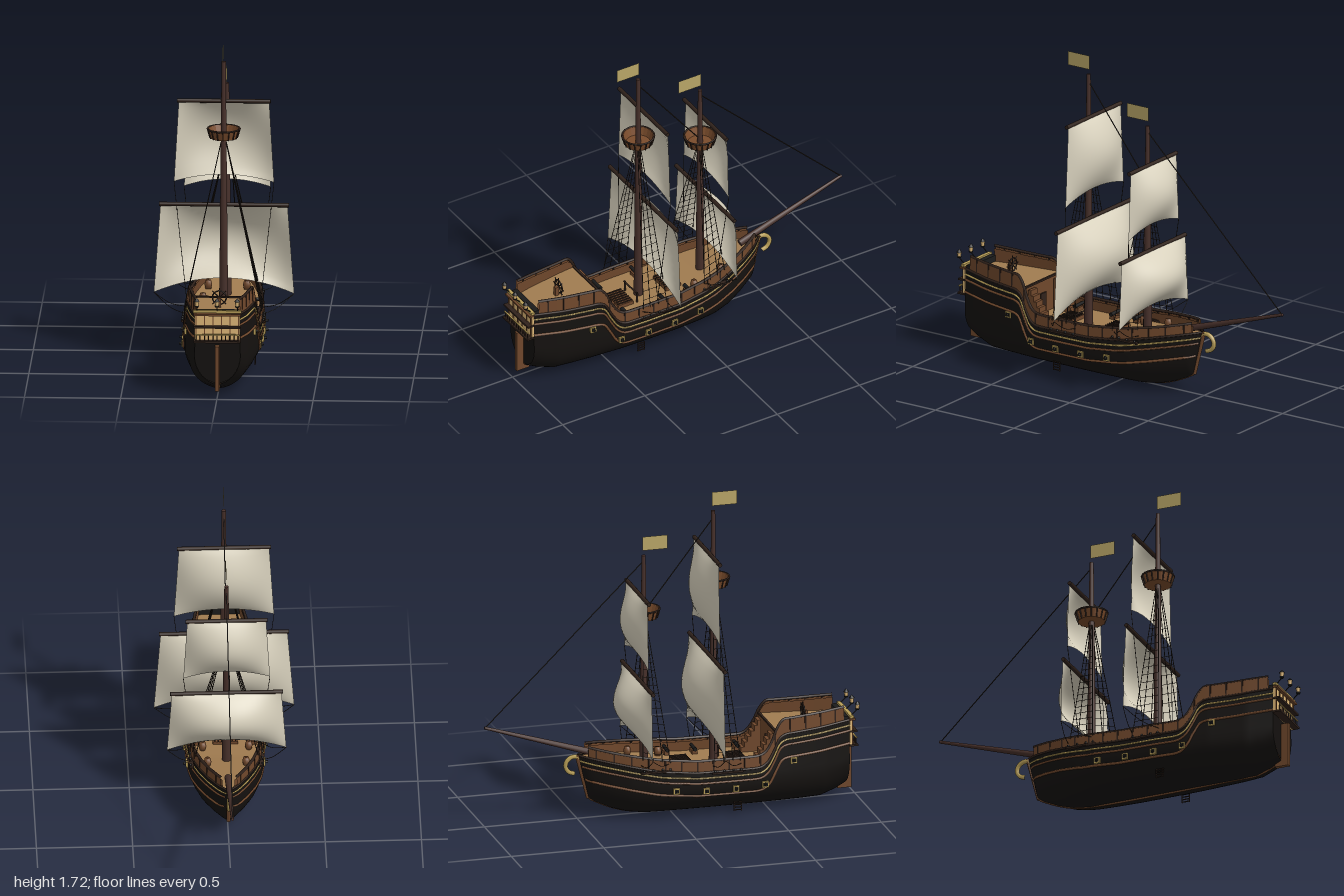
import * as THREE from 'three';

const mat = (color, side = THREE.FrontSide) => new THREE.MeshStandardMaterial({ color, side });
const D = THREE.DoubleSide;
const M = {
  hull: mat(0x14110f, D), wood: mat(0x70482c, D), deck: mat(0xa17c50, D), sail: mat(0xd8d1bd, D),
  mast: mat(0x47302a), dark: mat(0x30221b), gold: mat(0xb99f58), flag: mat(0xbaa768, D),
  rope: mat(0x2a221c), window: mat(0xe3bb7a), iron: mat(0x1c1c1c), nest: mat(0x7a4c2c, D),
};
const V = (x, y, z) => new THREE.Vector3(x, y, z);

// Piecewise-linear tables along the ship, [z, value] from stern to bow
const at = (tab, z) => {
  if (z >= tab[0][0]) return tab[0][1];
  for (let i = 1; i < tab.length; i++) if (z >= tab[i][0]) {
    const [a, b] = [tab[i - 1], tab[i]];
    return b[1] + (a[1] - b[1]) * (z - b[0]) / (a[0] - b[0]);
  }
  return tab[tab.length - 1][1];
};
const BEAM = [[0.94, 0.12], [0.8, 0.152], [0.6, 0.184], [0.45, 0.2], [0.3, 0.206], [0.1, 0.206], [-0.05, 0.196], [-0.15, 0.178], [-0.25, 0.148], [-0.35, 0.105], [-0.43, 0.06], [-0.5, 0.008]];
const KEEL = [[0.94, 0.06], [0.88, 0.03], [0.8, 0.003], [0.7, 0], [-0.15, 0], [-0.24, 0.013], [-0.32, 0.038], [-0.4, 0.075], [-0.44, 0.1], [-0.465, 0.2], [-0.5, 0.32]];
const SHEER = [[0.94, 0.437], [0.75, 0.42], [0.57, 0.413], [0.545, 0.395], [0.49, 0.29], [0.455, 0.258], [0.42, 0.25], [0.1, 0.253], [-0.1, 0.272], [-0.3, 0.31], [-0.5, 0.345]];
const RAIL = [[0.94, 0.508], [0.75, 0.495], [0.57, 0.488], [0.545, 0.47], [0.49, 0.35], [0.455, 0.315], [0.42, 0.307], [0.1, 0.31], [-0.1, 0.33], [-0.3, 0.36], [-0.5, 0.397]];
const DECK = [[0.53, 0.24], [0.1, 0.243], [-0.1, 0.262], [-0.3, 0.3], [-0.48, 0.33]];

// Half width of the hull at a height, rounded below and leaning in above
function halfWidth(z, y) {
  const s = Math.min(1, Math.max(0, (y - at(KEEL, z)) / 0.17));
  return at(BEAM, z) * Math.pow(1 - Math.pow(1 - s, 2.4), 0.62) * (1 - 0.35 * Math.max(0, y - 0.2));
}

function add(parent, name, geo, material, x = 0, y = 0, z = 0) {
  const m = new THREE.Mesh(geo, material);
  m.name = name;
  m.position.set(x, y, z);
  parent.add(m);
  return m;
}
const box = (p, n, m, w, h, d, x, y, z) => add(p, n, new THREE.BoxGeometry(w, h, d), m, x, y, z);
const cyl = (p, n, m, r1, r2, h, x, y, z, seg = 12) => add(p, n, new THREE.CylinderGeometry(r1, r2, h, seg), m, x, y, z);

// Surface from a rule f(u, v) -> point
function loft(p, name, f, nu, nv, material) {
  const g = new THREE.PlaneGeometry(1, 1, nu, nv), a = g.attributes.position, uv = g.attributes.uv;
  for (let i = 0; i < a.count; i++) a.setXYZ(i, ...f(uv.getX(i), uv.getY(i)).toArray());
  g.computeVertexNormals();
  return add(p, name, g, material);
}
// Straight round bar between two points
function bar(p, name, a, b, r1, r2, material, seg = 6) {
  const m = cyl(p, name, material, r2, r1, a.distanceTo(b), 0, 0, 0, seg);
  m.position.copy(a).lerp(b, 0.5);
  m.quaternion.setFromUnitVectors(V(0, 1, 0), b.clone().sub(a).normalize());
  return m;
}
const tube = (p, name, pts, r, material, n = 60) =>
  add(p, name, new THREE.TubeGeometry(new THREE.CatmullRomCurve3(pts), n, r, 6), material);

function buildHull(ship) {
  const g = new THREE.Group(); g.name = 'hull'; ship.add(g);
  const zOf = u => 0.94 - 1.44 * u;
  for (const s of [-1, 1]) {
    loft(g, 'hullSide', (u, v) => {
      const z = zOf(u), k = at(KEEL, z), y = k + (at(SHEER, z) - k) * Math.pow(v, 1.5);
      return V(s * halfWidth(z, y), y, z);
    }, 72, 20, M.hull);
    for (const inset of [0, 0.012]) loft(g, 'bulwark', (u, v) => {
      const z = 0.91 - 1.36 * u, y = at(SHEER, z) - 0.015 * (inset > 0) + (at(RAIL, z) - at(SHEER, z)) * v;
      return V(s * Math.max(0, halfWidth(z, y) - inset), y, z);
    }, 72, 2, M.wood);
    // Rail cap and wales following the sheer
    const line = (name, tab, drop, r, m, z0, z1, out) => {
      const pts = [];
      for (let i = 0; i <= 40; i++) {
        const z = z0 + (z1 - z0) * i / 40, y = at(tab, z) - drop;
        pts.push(V(s * (halfWidth(z, y) + out), y, z));
      }
      tube(g, name, pts, r, m, 90);
    };
    line('railCap', RAIL, 0, 0.008, M.dark, 0.91, -0.45, -0.006);
    line('sheerWale', SHEER, 0.004, 0.006, M.dark, 0.94, -0.49, 0);
    line('goldWale', SHEER, 0.034, 0.005, M.gold, 0.94, -0.485, 0);
    line('upperWale', SHEER, 0.062, 0.006, M.wood, 0.94, -0.475, 0);
    line('lowerWale', SHEER, 0.13, 0.007, M.wood, 0.94, -0.46, 0);
    for (let z = 0.86; z > -0.44; z -= 0.085) {
      const y = (at(SHEER, z) + at(RAIL, z)) / 2;
      box(g, 'bulwarkPost', M.dark, 0.008, at(RAIL, z) - at(SHEER, z), 0.008, s * (halfWidth(z, y) - 0.002), y, z);
    }
    // Gun ports with muzzles
    for (const [z, y] of [[0.46, 0.155], [0.3, 0.148], [0.14, 0.15], [-0.02, 0.16], [0.62, 0.265]]) {
      const x = s * halfWidth(z, y);
      box(g, 'gunPort', M.gold, 0.018, 0.034, 0.034, x, y, z);
      box(g, 'gunPortOpening', M.iron, 0.02, 0.02, 0.022, x, y, z);
      bar(g, 'muzzle', V(x, y, z), V(x + s * 0.022, y, z), 0.007, 0.006, M.iron, 8);
    }
    // Boarding ladder
    for (let i = 0; i < 4; i++) box(g, 'ladderRung', M.dark, 0.006, 0.004, 0.045, s * 0.168, 0.018 + i * 0.014, 0.32);
    for (const dz of [-0.02, 0.02]) box(g, 'ladderRail', M.dark, 0.004, 0.05, 0.004, s * 0.168, 0.038, 0.32 + dz);
  }
  // Transom, decks and cabin front
  const across = (name, zf, yf, nu, nv, m, inset = 0.004) => loft(g, name, (u, v) => {
    const z = zf(v), y = yf(v, z);
    return V((u * 2 - 1) * Math.max(0, halfWidth(z, y) - inset), y, z);
  }, nu, nv, m);
  across('transom', () => 0.94, v => 0.06 + 0.377 * v, 8, 16, M.hull, 0);
  across('mainDeck', v => 0.53 - 1.01 * v, (v, z) => at(DECK, z), 4, 40, M.deck);
  across('quarterDeck', v => 0.94 - 0.41 * v, () => 0.42, 4, 16, M.deck);
  across('cabinFront', () => 0.53, v => 0.24 + 0.18 * v, 4, 4, M.wood);
  box(g, 'cabinDoor', M.dark, 0.05, 0.11, 0.012, 0, 0.297, 0.527);
  box(g, 'deckEdge', M.dark, 0.33, 0.01, 0.012, 0, 0.422, 0.53);
  // Stem, keel and rudder
  tube(g, 'keel', KEEL.map(([z, y]) => V(0, y + 0.004, z)), 0.007, M.wood, 80);
  bar(g, 'stem', V(0, 0.1, -0.438), V(0, 0.34, -0.5), 0.012, 0.012, M.wood);
  box(g, 'rudder', M.wood, 0.022, 0.24, 0.075, 0, 0.15, 0.942);
  const curl = [[0.24, -0.515], [0.252, -0.545], [0.28, -0.562], [0.31, -0.555], [0.33, -0.53], [0.33, -0.5], [0.318, -0.49]];
  tube(g, 'figurehead', curl.map(([y, z]) => V(0, y, z)), 0.012, M.gold, 24);
}

function buildStern(ship) {
  const g = new THREE.Group(); g.name = 'sternGallery'; ship.add(g);
  box(g, 'galleryPanel', M.window, 0.235, 0.15, 0.012, 0, 0.365, 0.947);
  for (const [y, m, d] of [[0.295, M.dark, 0.045], [0.372, M.dark, 0.04], [0.436, M.wood, 0.03]])
    box(g, 'galleryLedge', m, 0.245, 0.01, d, 0, y, 0.94 + d / 2);
  box(g, 'taffrail', M.gold, 0.25, 0.014, 0.02, 0, 0.452, 0.95);
  box(g, 'sternBeam', M.iron, 0.225, 0.035, 0.03, 0, 0.436, 0.92);
  for (let i = 0; i < 11; i++) {
    const x = -0.11 + i * 0.022;
    cyl(g, 'baluster', M.dark, 0.003, 0.003, 0.036, x, 0.315, 0.977, 6);
    if (i % 2 === 0) box(g, 'windowPost', M.wood, 0.005, 0.14, 0.006, x, 0.366, 0.955);
  }
  box(g, 'galleryRail', M.gold, 0.235, 0.006, 0.008, 0, 0.334, 0.977);
  for (const x of [-0.105, 0, 0.105]) {
    bar(g, 'lanternArm', V(x, 0.452, 0.95), V(x, 0.485, 0.985), 0.003, 0.003, M.iron);
    cyl(g, 'lanternBase', M.iron, 0.013, 0.009, 0.008, x, 0.487, 0.985, 8);
    cyl(g, 'lanternGlass', M.window, 0.012, 0.009, 0.024, x, 0.503, 0.985, 8);
    cyl(g, 'lanternCap', M.iron, 0.002, 0.015, 0.016, x, 0.522, 0.985, 8);
  }
}

// Billowing square sail hung from a yard
function buildSail(g, z, top, foot, arch, wTop, wFoot, bulge) {
  bar(g, 'yard', V(-wTop - 0.008, top, z), V(wTop + 0.008, top, z), 0.011, 0.011, M.dark, 10);
  loft(g, 'sail', (u, v) => {
    const t = 1 - v, c = u * 2 - 1, round = 1 - c * c;
    return V(c * (wTop + (wFoot - wTop) * t), top + (foot + arch * round - top) * t,
      z - 0.006 - bulge * round * Math.pow(Math.sin(Math.PI * t), 0.85));
  }, 20, 20, M.sail);
}

function buildMast(ship, name, z, top, nestY, sails, shipSide) {
  const g = new THREE.Group(); g.name = name; ship.add(g);
  const y0 = 0.22;
  bar(g, 'mastPole', V(0, y0, z), V(0, top, z), 0.024, 0.011, M.mast, 12);
  for (const s of sails) buildSail(g, z - 0.032, ...s);
  // Crow's nest
  const prof = [[0, -0.025], [0.07, -0.025], [0.085, 0.025], [0.078, 0.025], [0.064, -0.018], [0, -0.018]];
  add(g, 'crowsNest', new THREE.LatheGeometry(prof.map(p => new THREE.Vector2(...p)), 20), M.nest, 0, nestY, z).material.flatShading = true;
  for (let i = 0; i < 16; i++) {
    const a = i * Math.PI / 8, c = Math.cos(a), s = Math.sin(a);
    bar(g, 'nestStave', V(c * 0.071, nestY - 0.025, z + s * 0.071), V(c * 0.086, nestY + 0.027, z + s * 0.086), 0.004, 0.004, M.dark);
  }
  add(g, 'nestHoop', new THREE.TorusGeometry(0.084, 0.005, 6, 24), M.dark, 0, nestY + 0.024, z).rotation.x = Math.PI / 2;
  add(g, 'flag', new THREE.PlaneGeometry(0.136, 0.075), M.flag, 0, top + 0.063, z + 0.062).rotation.y = Math.PI / 2;
  // Shrouds, ratlines and sheets
  const [upper, lower] = sails;
  for (const s of [-1, 1]) {
    const ends = [-0.05, 0.0, 0.05, 0.09].map(d => {
      const y = at(RAIL, z + d) - 0.01;
      return [V(s * (halfWidth(z + d, y) + 0.004), y, z + d), V(s * 0.014, nestY - 0.05, z + d * 0.12)];
    });
    for (const [a, b] of ends) bar(g, 'shroud', a, b, 0.0022, 0.0022, M.rope, 4);
    for (let i = 1; i < 15; i++) {
      const p = ends.map(([a, b]) => a.clone().lerp(b, i * 0.055));
      bar(g, 'ratline', p[0], p[3], 0.0015, 0.0015, M.rope, 4);
    }
    box(g, 'channel', M.dark, 0.022, 0.01, 0.17, s * shipSide, at(SHEER, z) - 0.01, z + 0.02);
    for (const [a] of ends) {
      add(g, 'deadeye', new THREE.SphereGeometry(0.007, 8, 6), M.iron, s * (shipSide + 0.006), at(SHEER, z), a.z);
    }
    const deck = V(s * (shipSide - 0.015), at(RAIL, z), z);
    bar(g, 'upperSheet', V(s * upper[4], upper[1], z - 0.038), deck, 0.0018, 0.0018, M.rope, 4);
    for (const dz of [-0.06, 0.1]) {
      const a = V(s * lower[4], lower[1], z - 0.038), b = V(deck.x, deck.y - 0.03, z + dz);
      const mid = a.clone().lerp(b, 0.5).add(V(0, -0.02, 0));
      tube(g, 'lowerSheet', [a, mid, b], 0.0018, M.rope, 10);
    }
  }
}

function buildDeckFittings(ship) {
  const g = new THREE.Group(); g.name = 'deckFittings'; ship.add(g);
  // Hatches with slats
  for (const z of [0.06, 0.35]) {
    const y = at(DECK, z);
    box(g, 'hatch', M.wood, 0.13, 0.02, 0.09, 0, y + 0.01, z);
    for (let i = 0; i < 7; i++) box(g, 'hatchSlat', M.dark, 0.006, 0.006, 0.09, -0.054 + i * 0.018, y + 0.022, z);
  }
  for (const s of [-1, 1]) {
    for (let i = 0; i < 6; i++) box(g, 'stair', M.wood, 0.06, 0.028 * (i + 1), 0.018, s * 0.115, 0.24 + 0.014 * (i + 1), 0.42 + i * 0.018);
    // Deck cannons
    for (const z of [0.02, 0.17, 0.4]) {
      const y = at(DECK, z);
      box(g, 'cannonCarriage', M.wood, 0.05, 0.02, 0.028, s * 0.14, y + 0.012, z);
      bar(g, 'cannonBarrel', V(s * 0.105, y + 0.03, z), V(s * 0.185, y + 0.033, z), 0.011, 0.008, M.iron, 10);
    }
    for (const [x, z] of [[0.12, -0.03], [0.1, -0.2]]) {
      const pts = [[0, 0], [0.015, 0], [0.02, 0.022], [0.015, 0.045], [0, 0.045]].map(p => new THREE.Vector2(...p));
      add(g, 'barrel', new THREE.LatheGeometry(pts, 12), M.wood, s * x, at(DECK, z), z);
    }
    bar(g, 'pinRail', V(s * 0.06, 0.3, 0.28), V(s * 0.06, 0.235, 0.28), 0.006, 0.006, M.dark);
  }
  bar(g, 'pinRailBar', V(-0.07, 0.295, 0.28), V(0.07, 0.295, 0.28), 0.005, 0.005, M.dark);
  // Steering wheel
  box(g, 'wheelStand', M.wood, 0.02, 0.05, 0.02, 0, 0.445, 0.735);
  add(g, 'wheelRim', new THREE.TorusGeometry(0.036, 0.004, 6, 20), M.dark, 0, 0.468, 0.72);
  for (let i = 0; i < 4; i++) {
    const a = i * Math.PI / 4, v = V(Math.cos(a) * 0.05, Math.sin(a) * 0.05, 0), c = V(0, 0.468, 0.72);
    bar(g, 'wheelSpoke', c.clone().sub(v), c.clone().add(v), 0.003, 0.003, M.dark);
  }
  // Bowsprit and stays
  bar(g, 'bowsprit', V(0, 0.335, -0.38), V(0, 0.535, -1), 0.019, 0.008, M.mast, 10);
  bar(g, 'mainStay', V(0, 1.57, 0.235), V(0, 1.1, -0.13), 0.003, 0.003, M.rope);
  bar(g, 'foreStay', V(0, 1.37, -0.14), V(0, 0.535, -0.995), 0.003, 0.003, M.rope);
}

export function createModel() {
  const ship = new THREE.Group();
  ship.name = 'sailingShip';
  buildHull(ship);
  buildStern(ship);
  // Sails: yard height, foot height, foot arch, half widths, bulge
  buildMast(ship, 'mainMast', 0.236, 1.61, 1.226,
    [[1.39, 0.955, 0.04, 0.235, 0.26, 0.078], [0.835, 0.36, 0.08, 0.33, 0.365, 0.112]], 0.205);
  buildMast(ship, 'foreMast', -0.14, 1.4, 1.086,
    [[1.2, 0.835, 0.04, 0.205, 0.225, 0.078], [0.73, 0.37, 0.06, 0.285, 0.31, 0.11]], 0.182);
  buildDeckFittings(ship);
  return ship;
}
